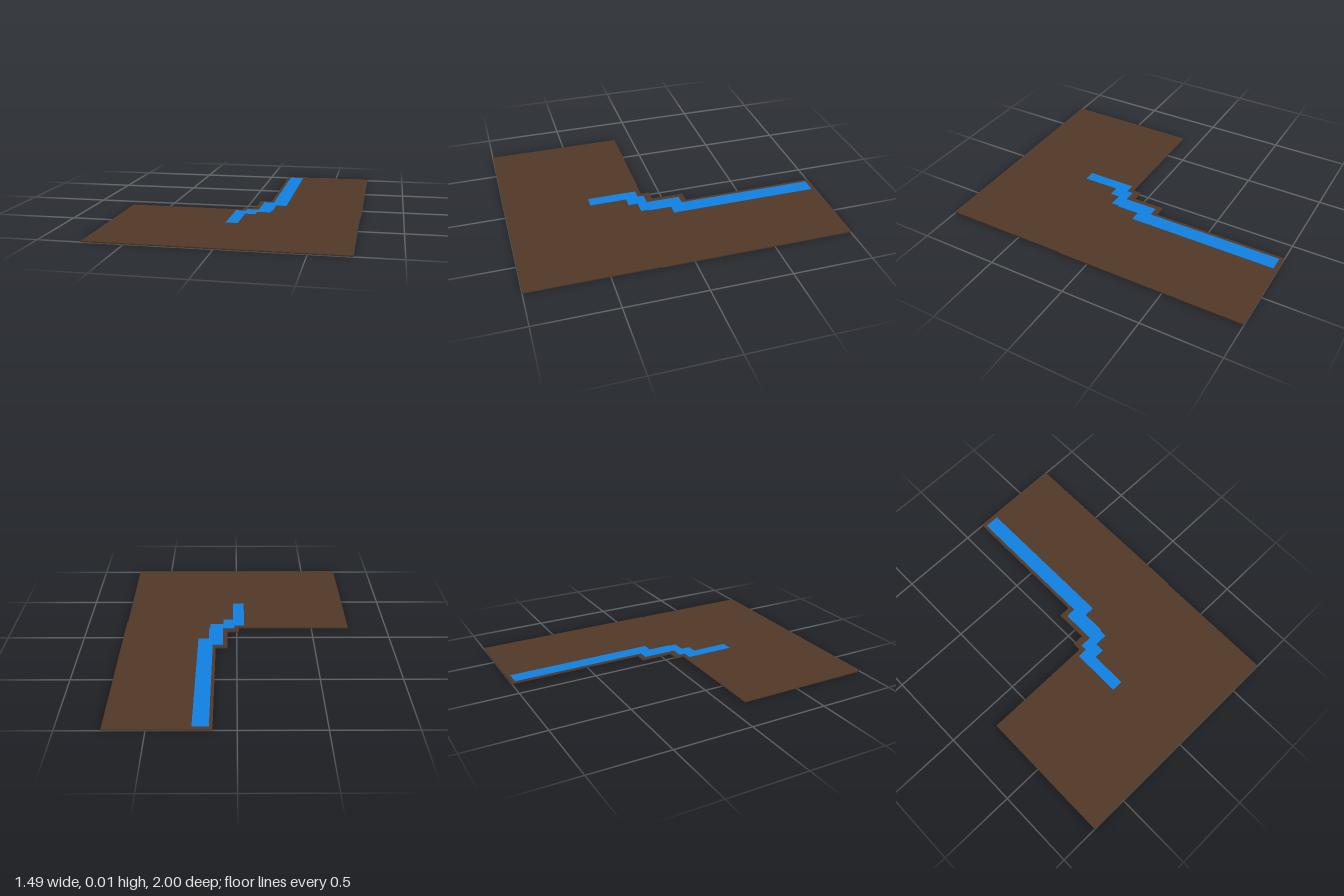
import * as THREE from 'three';

// Flat slab from an [x, z] outline, spanning height y0 to y1
function slab(name, outline, y0, y1, color) {
  const shape = new THREE.Shape(outline.map(([x, z]) => new THREE.Vector2(x, -z)));
  const geometry = new THREE.ExtrudeGeometry(shape, { depth: y1 - y0, bevelEnabled: false });
  geometry.rotateX(-Math.PI / 2).translate(0, y0, 0);
  const mesh = new THREE.Mesh(geometry, new THREE.MeshStandardMaterial({ color }));
  mesh.name = name;
  return mesh;
}

export function createModel() {
  const group = new THREE.Group();
  group.name = 'riverGround';

  // L-shaped ground with a stepped inner corner
  group.add(slab('ground', [
    [-0.745, 1], [0.737, 1], [0.737, 0.2], [0.742, 0.2], [0.742, -1],
    [0.135, -1], [0.135, -0.14], [0.06, -0.14], [0.06, 0.065],
    [-0.015, 0.065], [-0.015, 0.12], [-0.745, 0.12],
  ], 0, 0.007, 0x523828));

  // Stepped stream lying on the ground
  group.add(slab('stream', [
    [0.155, -0.975], [0.25, -0.975], [0.25, -0.025], [0.183, -0.025],
    [0.183, 0.12], [0.175, 0.12], [0.175, 0.17], [0.09, 0.17],
    [0.09, 0.23], [0.024, 0.23], [0.024, 0.465], [-0.05, 0.465],
    [-0.05, 0.15], [0.013, 0.15], [0.013, 0.11], [0.09, 0.11],
    [0.09, -0.105], [0.155, -0.105],
  ], 0.004, 0.008, 0x1080e0));

  return group;
}
